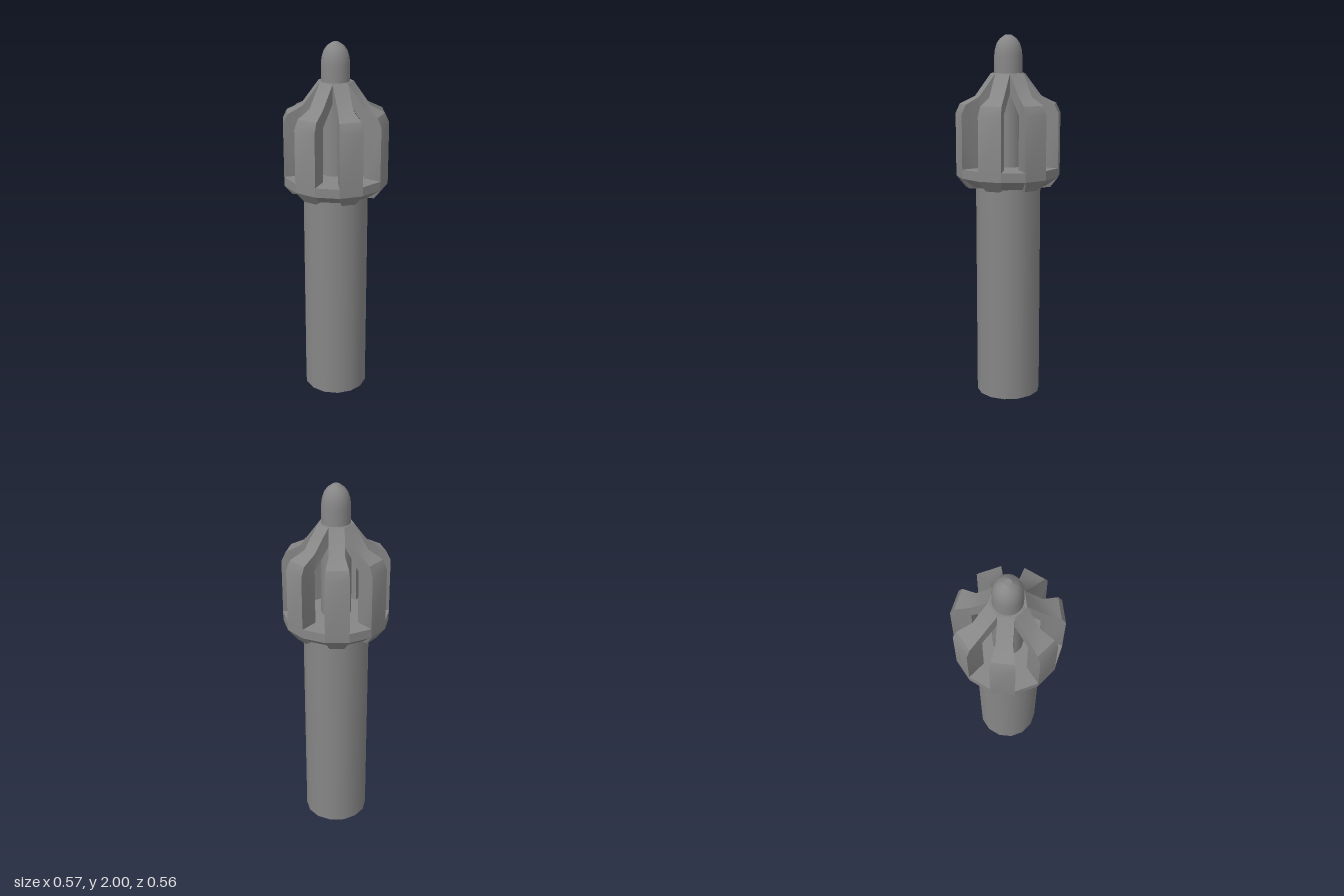
import * as THREE from 'three';
import { mergeGeometries, toCreasedNormals } from 'three/addons/utils/BufferGeometryUtils.js';

const FINS = 7;
const SIDES = FINS * 2;
const START = Math.PI / SIDES;
const CREASE = 0.53;

// Half-width of a fin: parallel inside, flared outside, tapering below the collar rim
function halfWidth(r, y) {
  const w = r <= 0.175 ? 0.041 : THREE.MathUtils.mapLinear(r, 0.175, 0.278, 0.041, 0.0635);
  return y < 1.25 ? w * THREE.MathUtils.mapLinear(y, 1.185, 1.25, 0.66, 1) : w;
}

// Extrude a (radius, height) outline sideways, then widen it by halfWidth; faces +z
function finSection(outline) {
  const shape = new THREE.Shape(outline.map(([r, y]) => new THREE.Vector2(r, y)));
  const geo = new THREE.ExtrudeGeometry(shape, { depth: 2, bevelEnabled: false });
  geo.translate(0, 0, -1);
  const p = geo.attributes.position;
  for (let i = 0; i < p.count; i++) p.setZ(i, p.getZ(i) * halfWidth(p.getX(i), p.getY(i)));
  return geo.rotateY(-Math.PI / 2);
}

function lathe(profile, segments, start = 0) {
  const points = profile.map(([r, y]) => new THREE.Vector2(r, y));
  return new THREE.LatheGeometry(points, segments, start);
}

export function createModel() {
  const group = new THREE.Group();
  const color = 0x868686;
  const smooth = new THREE.MeshStandardMaterial({ color });
  const flat = new THREE.MeshStandardMaterial({ color, flatShading: true });

  function add(name, geometry, material) {
    const mesh = new THREE.Mesh(geometry, material);
    mesh.name = name;
    group.add(mesh);
    return mesh;
  }

  // Handle
  const handle = new THREE.CylinderGeometry(0.178, 0.178, 1.22, SIDES, 1, false, START);
  add('handle', handle.translate(0, 0.61, 0), smooth);

  // Faceted collar with a chamfered underside
  add('collar', lathe([[0, 1.2], [0.215, 1.2], [0.285, 1.25], [0.285, 1.3], [0, 1.3]],
    SIDES, START), flat);

  // Core inside the cage
  const core = new THREE.CylinderGeometry(0.081, 0.081, 0.5, SIDES, 1, false, START);
  add('core', core.translate(0, 1.54, 0), smooth);

  // Fins: tapered foot, upright blade and sloping strut, repeated around the axis
  const foot = finSection([[0.17, 1.185], [0.235, 1.192], [0.278, 1.25], [0.175, 1.25]]);
  const blade = finSection([[0.175, 1.25], [0.278, 1.25], [0.278, 1.59], [0.255, 1.64],
    [0.175, 1.68]]);
  const strut = finSection([[0.175, 1.59], [0.175, 1.68], [0.085, 1.8], [0.06, 1.8], [0.06, 1.73]]);
  const finGeometry = toCreasedNormals(mergeGeometries([foot, blade, strut]), CREASE);
  for (let i = 0; i < FINS; i++) {
    add('fin', finGeometry, smooth).rotation.y = (i / FINS) * Math.PI * 2;
  }

  // Seven-sided cap where the struts meet
  const cap = new THREE.CylinderGeometry(0.088, 0.094, 0.02, FINS, 1, false, Math.PI / FINS);
  add('cap', cap.translate(0, 1.791, 0), flat);

  // Rounded tip with a small flat top
  const tip = lathe([[0.076, 1.78], [0.076, 1.89], [0.072, 1.925], [0.062, 1.957],
    [0.045, 1.981], [0.018, 2], [0, 2]], 28);
  add('tip', toCreasedNormals(tip, CREASE), smooth);

  return group;
}
